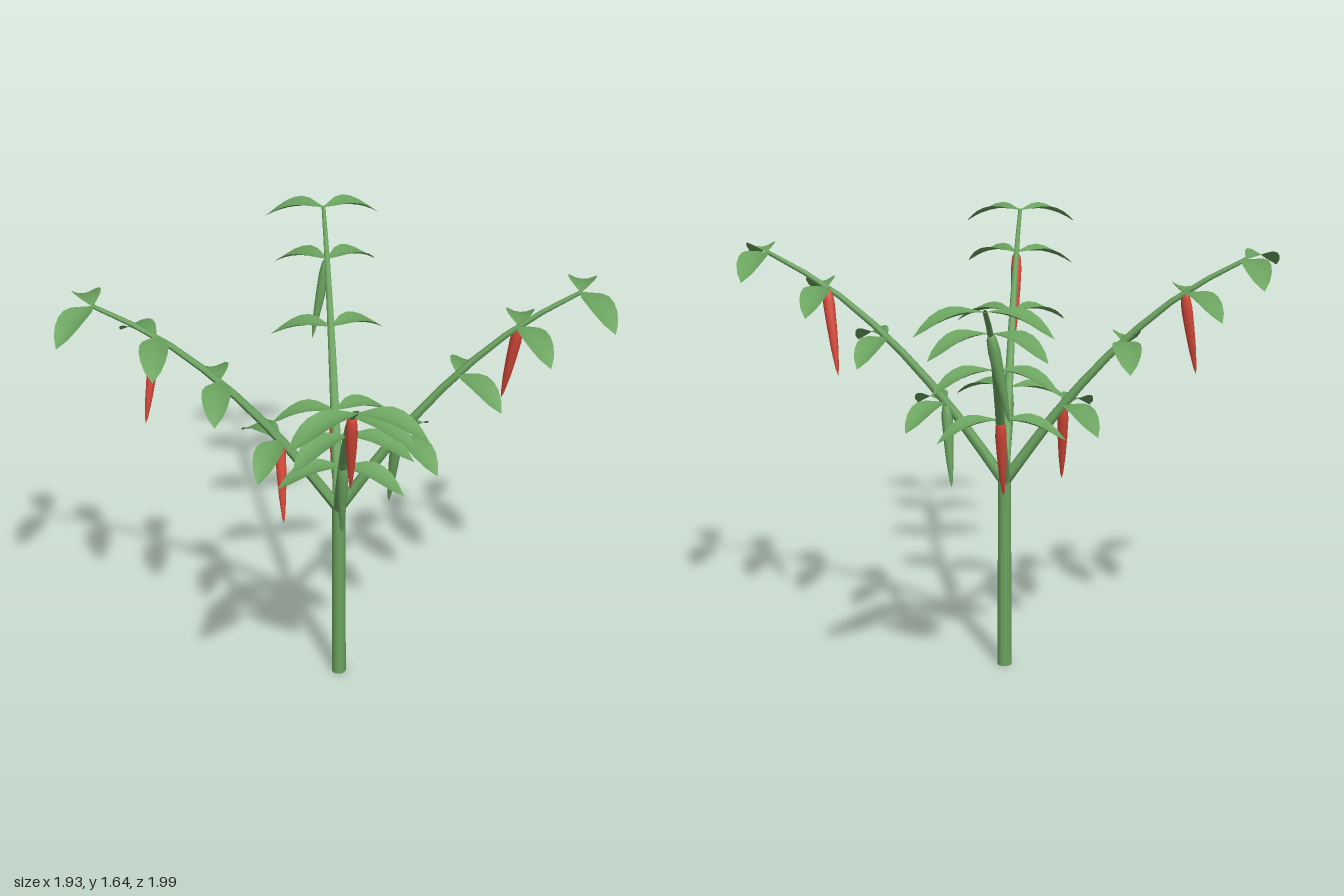
import * as THREE from 'three';

const green = new THREE.MeshStandardMaterial({ color: 0x6ba35f, side: THREE.DoubleSide });
green.name = 'plant green';
const red = new THREE.MeshStandardMaterial({ color: 0xd94a3a });
red.name = 'ripe red';

const UP = new THREE.Vector3(0, 1, 0);
const HEADING = 23.1; // degrees of the first branch, the rest follow at quarter turns
const REACH = 0.878;
const branchHeight = t => 0.75 + 1.35 * t - 0.48 * t * t;

// Leaf angles to either side at each node, and the peppers by node with their tip offsets
const BRANCHES = [
  { left: [58, 71, 80, 78], right: [-58, -56, -70, -69],
    peppers: [{ node: 1, tip: [0.14, 0.74, -0.14], mat: green }, { node: 3, tip: [0.523, 1.17, -0.31], mat: red }] },
  { left: [83, 70, 56, 70], right: [-65, -61, -55, -67],
    peppers: [{ node: 1, tip: [-0.08, 0.74, -0.14], mat: red }, { node: 3, tip: [-0.32, 1.17, -0.56], mat: green }] },
  { left: [68, 85, 87, 60], right: [-56, -83, -57, -77],
    peppers: [{ node: 1, tip: [-0.18, 0.74, 0.15], mat: red }, { node: 3, tip: [-0.648, 1.17, 0.32], mat: red }] },
  { left: [60, 67, 56, 67], right: [-80, -54, -64, -61],
    peppers: [{ node: 1, tip: [0.047, 0.74, 0.14], mat: green }, { node: 3, tip: [0.212, 1.17, 0.525], mat: red }] },
];

function add(parent, name, geometry, material) {
  const mesh = new THREE.Mesh(geometry, material);
  mesh.name = name;
  parent.add(mesh);
  return mesh;
}

// Pointed leaf along +x, drooping at the tip with its edges turned up
function leafGeometry() {
  const half = [0.003, 0.024, 0.043, 0.052, 0.052, 0.045, 0.029, 0];
  const rows = half.length - 1;
  const geo = new THREE.PlaneGeometry(1, 2, rows, 4).rotateX(-Math.PI / 2);
  const pos = geo.attributes.position;
  for (let i = 0; i < pos.count; i++) {
    const u = pos.getX(i) + 0.5;
    const side = pos.getZ(i);
    const w = half[Math.round(u * rows)];
    const edge = Math.abs(side) * w / 0.052;
    pos.setXYZ(i, u * 0.245, 0.04 * u - 0.105 * u * u + 0.018 * edge * edge, side * w);
  }
  geo.computeVertexNormals();
  return geo;
}

// Tapered branch swept along a curve
function branchGeometry(curve) {
  const segments = 8, sides = 8;
  const geo = new THREE.TubeGeometry(curve, segments, 1, sides);
  const pos = geo.attributes.position;
  const p = new THREE.Vector3();
  for (let i = 0; i < pos.count; i++) {
    const t = Math.floor(i / (sides + 1)) / segments;
    const center = curve.getPointAt(t);
    p.fromBufferAttribute(pos, i).sub(center).multiplyScalar(0.022 - 0.014 * t).add(center);
    pos.setXYZ(i, p.x, p.y, p.z);
  }
  geo.computeVertexNormals();
  return geo;
}

// Slender pepper of unit length hanging from the origin to -y
function pepperGeometry() {
  const profile = [[0, -1], [0.006, -0.93], [0.014, -0.7], [0.019, -0.45], [0.022, -0.2], [0.018, -0.06], [0.008, 0], [0, 0]];
  return new THREE.LatheGeometry(profile.map(([x, y]) => new THREE.Vector2(x, y)), 8);
}

export function createModel() {
  const plant = new THREE.Group();
  plant.name = 'pepperPlant';
  const root = new THREE.Vector3(-0.017, 0, -0.01);

  const stem = add(plant, 'stem', new THREE.CylinderGeometry(0.025, 0.028, 0.75, 10), green);
  stem.position.set(root.x, 0.375, root.z);

  const leafGeo = leafGeometry();
  const pepperGeo = pepperGeometry();

  BRANCHES.forEach((spec, b) => {
    const group = new THREE.Group();
    group.name = `branch${b + 1}`;
    plant.add(group);
    const heading = HEADING + 90 * b;
    const angle = THREE.MathUtils.degToRad(heading);
    const node = k => new THREE.Vector3(
      root.x + Math.cos(angle) * REACH * k / 4,
      branchHeight(k / 4),
      root.z - Math.sin(angle) * REACH * k / 4);

    const curve = new THREE.CatmullRomCurve3([0, 1, 2, 3, 4].map(node));
    add(group, 'twig', branchGeometry(curve), green);

    // A pair of leaves at every node
    for (let k = 1; k <= 4; k++) {
      for (const [name, turns] of [['leftLeaf', spec.left], ['rightLeaf', spec.right]]) {
        const leaf = add(group, name, leafGeo, green);
        leaf.position.copy(node(k));
        leaf.rotation.y = THREE.MathUtils.degToRad(heading + turns[k - 1]);
      }
    }

    // Peppers hang from the first and third nodes
    for (const { node: k, tip, mat } of spec.peppers) {
      const pepper = add(group, mat === red ? 'ripePepper' : 'greenPepper', pepperGeo, mat);
      const top = node(k);
      const axis = top.clone().sub(new THREE.Vector3(...tip));
      pepper.position.copy(top);
      pepper.scale.y = axis.length();
      pepper.quaternion.setFromUnitVectors(UP, axis.normalize());
    }
  });
  return plant;
}
